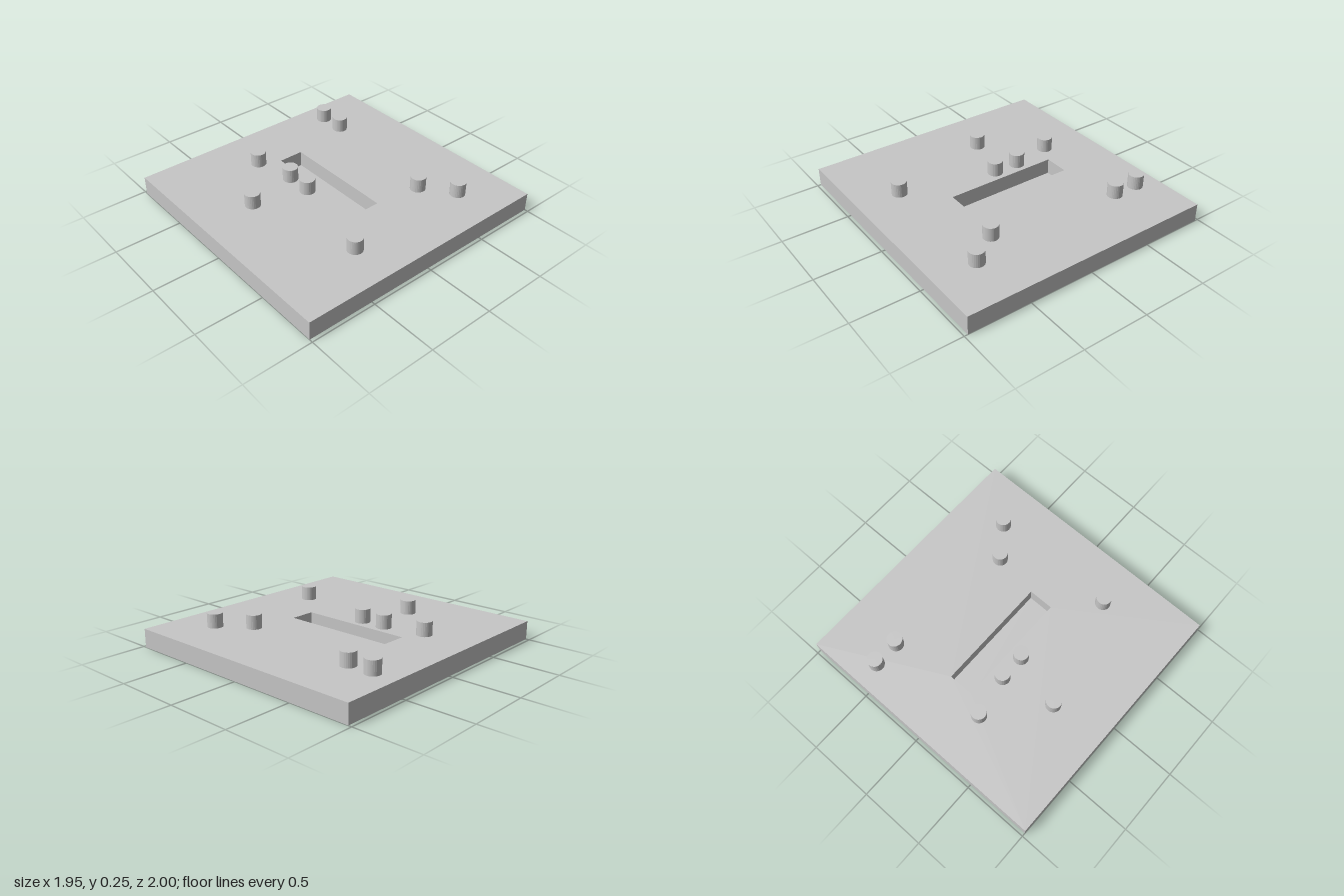
import * as THREE from 'three';

const THICK = 0.14, FLOOR = 0.02;
const SLOT = { x0: -0.51, x1: 0.365, z0: -0.10, z1: 0.09 };
const PEG_R = 0.057, PEG_H = 0.105;
const PEGS = [
  [-0.79, -0.565], [-0.59, -0.565], [0.645, -0.62],
  [0.415, -0.45], [-0.59, 0.24], [-0.273, 0.18],
  [-0.073, 0.18], [0.645, 0.355], [-0.187, 0.58],
];

// Traces a rectangle; shape y becomes -z once the plate is laid flat
function rect(path, x0, x1, z0, z1) {
  path.moveTo(x0, -z1);
  path.lineTo(x1, -z1);
  path.lineTo(x1, -z0);
  path.lineTo(x0, -z0);
  path.closePath();
  return path;
}

export function createModel() {
  const group = new THREE.Group();
  const grey = new THREE.MeshStandardMaterial({ color: 0xc6c6c6 });
  grey.name = 'lightGrey';

  const add = (name, geometry, x = 0, y = 0, z = 0) => {
    const mesh = new THREE.Mesh(geometry, grey);
    mesh.name = name;
    mesh.position.set(x, y, z);
    group.add(mesh);
  };

  // Base plate with a rectangular slot
  const outline = rect(new THREE.Shape(), -0.974, 0.974, -1, 1);
  outline.holes.push(rect(new THREE.Path(), SLOT.x0, SLOT.x1, SLOT.z0, SLOT.z1));
  const plate = new THREE.ExtrudeGeometry(outline, { depth: THICK, bevelEnabled: false });
  plate.rotateX(-Math.PI / 2);
  add('basePlate', plate);

  // Thin floor that closes the slot at the bottom
  add('slotFloor',
    new THREE.BoxGeometry(SLOT.x1 - SLOT.x0, FLOOR, SLOT.z1 - SLOT.z0),
    (SLOT.x0 + SLOT.x1) / 2, FLOOR / 2, (SLOT.z0 + SLOT.z1) / 2);

  // Round pegs with flat facets standing on the plate
  const peg = new THREE.CylinderGeometry(PEG_R, PEG_R, PEG_H, 28).toNonIndexed();
  peg.computeVertexNormals();
  PEGS.forEach(([x, z], i) => add(`peg${i + 1}`, peg, x, THICK + PEG_H / 2, z));

  return group;
}
